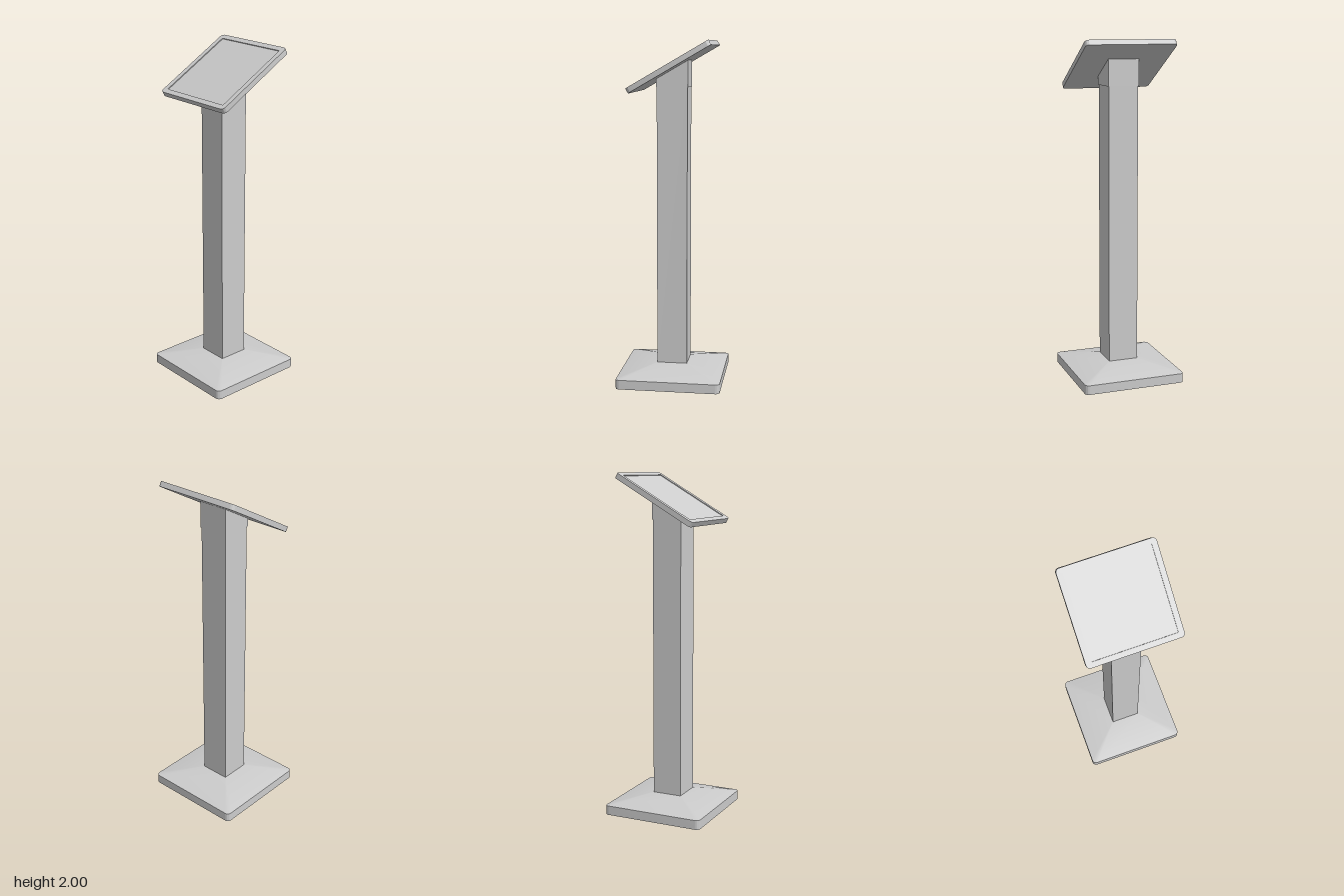
import * as THREE from 'three';
import { toCreasedNormals } from 'three/addons/utils/BufferGeometryUtils.js';

const material = new THREE.MeshStandardMaterial({ color: 0xcccccc });

function addMesh(parent, name, geometry) {
  const mesh = new THREE.Mesh(geometry, material);
  mesh.name = name;
  parent.add(mesh);
  return mesh;
}

// Rounded rectangle centred on the origin
function roundedRect(w, h, r) {
  const x = w / 2, y = h / 2;
  const s = new THREE.Shape();
  s.absarc(x - r, y - r, r, 0, Math.PI / 2);
  s.absarc(-x + r, y - r, r, Math.PI / 2, Math.PI);
  s.absarc(-x + r, -y + r, r, Math.PI, Math.PI * 1.5);
  s.absarc(x - r, -y + r, r, Math.PI * 1.5, Math.PI * 2);
  s.closePath();
  return s;
}

function extrude(shape, depth) {
  const g = new THREE.ExtrudeGeometry(shape, { depth, bevelEnabled: false, curveSegments: 8 });
  return toCreasedNormals(g, 0.6);
}

// Sloped skirt: joins two rounded-square rings, closed on top
function skirtGeometry(bottom, top, steps = 8) {
  const pos = [], index = [];
  for (const { half, r, y } of [bottom, top]) {
    for (let c = 0; c < 4; c++) {
      const mid = Math.PI / 4 + c * Math.PI / 2;
      const cx = Math.sign(Math.cos(mid)) * (half - r);
      const cz = Math.sign(Math.sin(mid)) * (half - r);
      for (let i = 0; i <= steps; i++) {
        const a = (c + i / steps) * Math.PI / 2;
        pos.push(cx + r * Math.cos(a), y, cz + r * Math.sin(a));
      }
    }
  }
  const n = 4 * (steps + 1);
  pos.push(0, top.y, 0);
  for (let i = 0; i < n; i++) {
    const j = (i + 1) % n;
    index.push(i, n + i, j, j, n + i, n + j);
    index.push(n + i, 2 * n, n + j);
  }
  const g = new THREE.BufferGeometry();
  g.setAttribute('position', new THREE.Float32BufferAttribute(pos, 3));
  g.setIndex(index);
  return toCreasedNormals(g, 0.3);
}

export function createModel() {
  const model = new THREE.Group();
  model.name = 'kioskStand';

  // Base: flat plate with a shallow sloped skirt
  const base = new THREE.Group();
  base.name = 'base';
  model.add(base);
  const plate = addMesh(base, 'basePlate', extrude(roundedRect(0.608, 0.608, 0.025), 0.055));
  plate.rotation.x = -Math.PI / 2;
  addMesh(base, 'baseSkirt', skirtGeometry(
    { half: 0.304, r: 0.025, y: 0.055 },
    { half: 0.091, r: 0.003, y: 0.105 }
  ));

  // Square post
  const post = addMesh(model, 'post', new THREE.BoxGeometry(0.177, 1.66, 0.177));
  post.position.y = 0.92;

  // Collar: slightly wider than the post, its top cut to the panel's slope
  const tilt = Math.PI / 6, panelY = 1.8525, half = 0.0925;
  const slopeY = z => panelY - 0.012 - z * Math.tan(tilt);
  const profile = new THREE.Shape([
    new THREE.Vector2(-half, 1.735),
    new THREE.Vector2(half, 1.735),
    new THREE.Vector2(half, slopeY(-half)),
    new THREE.Vector2(-half, slopeY(half)),
  ]);
  const collar = addMesh(model, 'collar', extrude(profile, half * 2));
  collar.rotation.y = Math.PI / 2;
  collar.position.x = -half;

  // Tilted display panel: back plate plus a thin raised bezel
  const panel = new THREE.Group();
  panel.name = 'displayPanel';
  panel.position.y = panelY;
  panel.rotation.x = tilt - Math.PI / 2;
  model.add(panel);
  const w = 0.538, h = 0.535, r = 0.022, border = 0.031;
  addMesh(panel, 'panelBody', extrude(roundedRect(w, h, r), 0.026)).position.z = -0.0155;
  const frame = roundedRect(w, h, r);
  const x = w / 2 - border, y = h / 2 - border;
  frame.holes.push(new THREE.Path([
    new THREE.Vector2(-x, -y), new THREE.Vector2(-x, y),
    new THREE.Vector2(x, y), new THREE.Vector2(x, -y),
  ]));
  addMesh(panel, 'bezel', extrude(frame, 0.005)).position.z = 0.0105;

  return model;
}
